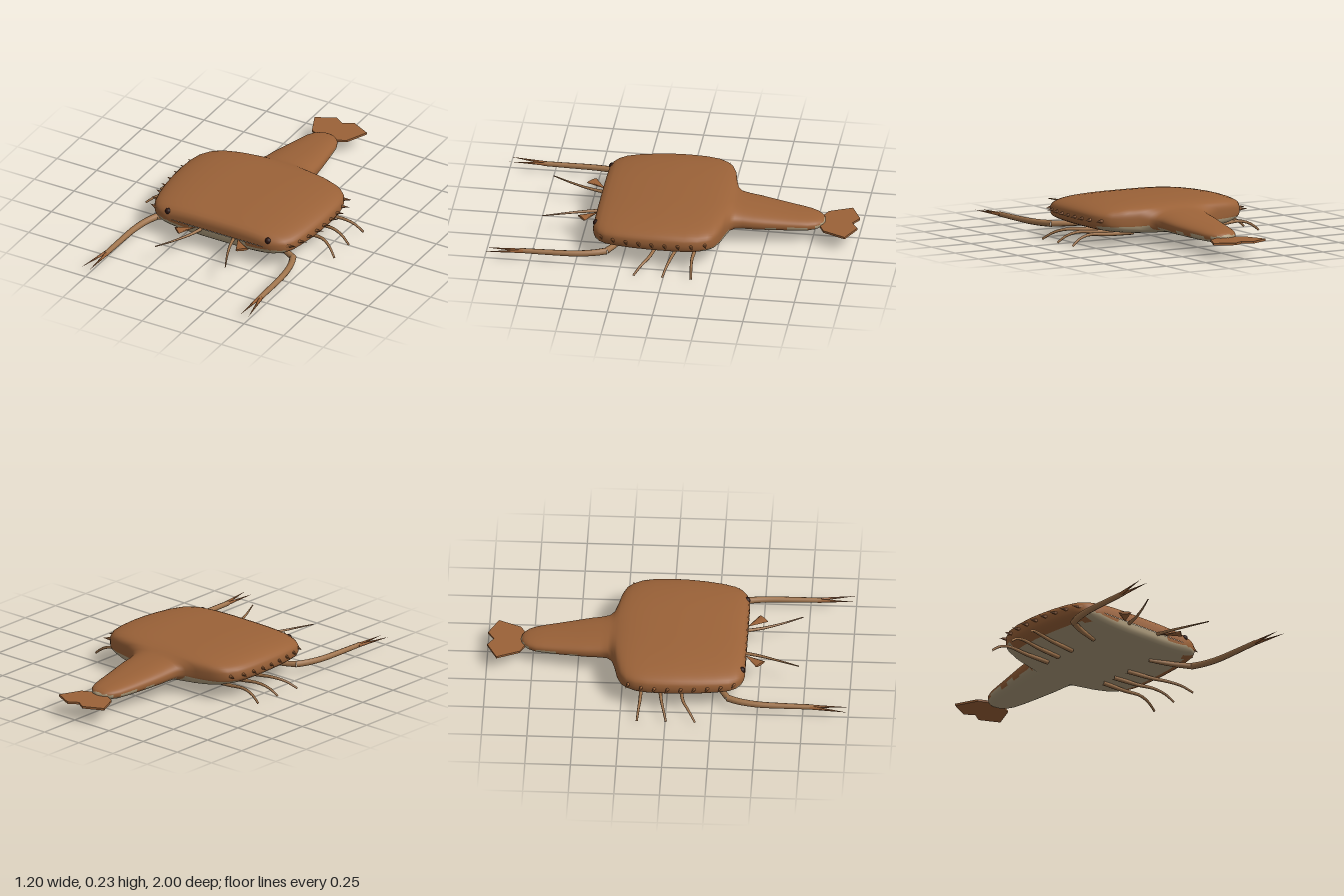
import * as THREE from 'three';

const mat = (name, color, side = THREE.FrontSide) => {
  const m = new THREE.MeshStandardMaterial({ color, side });
  m.name = name;
  return m;
};

export function createModel() {
  const group = new THREE.Group();
  const shell = mat('shell brown', 0x9b6238);
  const belly = mat('belly tan', 0xae9c7c);
  const limb = mat('limb tan', 0xa0744c);
  const dark = mat('eye dark', 0x2a1410);

  const add = (name, geo, material, parent = group) => {
    const m = new THREE.Mesh(geo, material);
    m.name = name;
    parent.add(m);
    return m;
  };
  const V = (p) => new THREE.Vector3(...p);

  // Carapace and tail: z, half width, top y, bottom y
  const stations = [
    [0.425, 0.30, 0.131, 0.129], [0.425, 0.32, 0.16, 0.105], [0.42, 0.345, 0.182, 0.085],
    [0.405, 0.385, 0.198, 0.073], [0.38, 0.415, 0.207, 0.067], [0.34, 0.44, 0.215, 0.064],
    [0.27, 0.457, 0.223, 0.062], [0.18, 0.47, 0.229, 0.06], [0.08, 0.478, 0.233, 0.06],
    [0, 0.48, 0.234, 0.06], [-0.1, 0.476, 0.232, 0.06], [-0.17, 0.462, 0.229, 0.061],
    [-0.22, 0.435, 0.224, 0.063], [-0.25, 0.405, 0.219, 0.065], [-0.275, 0.345, 0.213, 0.067],
    [-0.292, 0.26, 0.207, 0.068], [-0.31, 0.2, 0.2, 0.069], [-0.335, 0.168, 0.193, 0.069],
    [-0.38, 0.157, 0.186, 0.068], [-0.44, 0.152, 0.178, 0.067], [-0.5, 0.142, 0.169, 0.066],
    [-0.56, 0.131, 0.161, 0.065], [-0.62, 0.12, 0.153, 0.064], [-0.68, 0.109, 0.146, 0.064],
    [-0.73, 0.098, 0.139, 0.065], [-0.77, 0.08, 0.132, 0.069], [-0.795, 0.058, 0.124, 0.075],
    [-0.81, 0.035, 0.115, 0.082], [-0.817, 0.002, 0.1, 0.098],
  ];
  const N = 56;
  const pos = [];
  const spow = (v, e) => Math.sign(v) * Math.pow(Math.abs(v), e);
  for (const [z, w, top, bot] of stations) {
    const e = z < -0.3 ? 0.82 : 0.66;
    for (let j = 0; j < N; j++) {
      const a = (j / N) * Math.PI * 2;
      pos.push(w * spow(Math.cos(a), e), (top + bot) / 2 + ((top - bot) / 2) * spow(Math.sin(a), e), z);
    }
  }
  // Height under which the skin is pale, scalloped along the tail
  const paleLine = (z) => {
    if (z > 0.37) return 0.118;
    if (z > -0.18) return 0.082;
    if (z > -0.31) return 0.11;
    return 0.082 + 0.028 * Math.abs(Math.sin((z + 0.31) * 22));
  };
  const upper = [], lower = [];
  for (let i = 0; i < stations.length - 1; i++) {
    for (let j = 0; j < N; j++) {
      const a = i * N + j, b = i * N + (j + 1) % N, c = a + N, d = b + N;
      const y = (pos[a * 3 + 1] + pos[b * 3 + 1] + pos[c * 3 + 1] + pos[d * 3 + 1]) / 4;
      const z = (pos[a * 3 + 2] + pos[c * 3 + 2]) / 2;
      (y < paleLine(z) ? lower : upper).push(a, c, b, b, c, d);
    }
  }
  const bodyGeo = new THREE.BufferGeometry();
  bodyGeo.setAttribute('position', new THREE.Float32BufferAttribute(pos, 3));
  bodyGeo.setIndex([...upper, ...lower]);
  bodyGeo.addGroup(0, upper.length, 0);
  bodyGeo.addGroup(upper.length, lower.length, 1);
  bodyGeo.computeVertexNormals();
  add('body', bodyGeo, [shell, belly]);

  // Curved limb narrowing from radius r0 to r1
  const taper = (points, r0, r1, segs = 14, sides = 8) => {
    const curve = new THREE.CatmullRomCurve3(points.map(V));
    const geo = new THREE.TubeGeometry(curve, segs, 1, sides);
    const p = geo.attributes.position;
    for (let i = 0; i <= segs; i++) {
      const c = curve.getPointAt(i / segs);
      const r = r0 + (r1 - r0) * (i / segs);
      for (let j = 0; j <= sides; j++) {
        const k = i * (sides + 1) + j;
        const v = new THREE.Vector3().fromBufferAttribute(p, k).sub(c).multiplyScalar(r).add(c);
        p.setXYZ(k, v.x, v.y, v.z);
      }
    }
    return geo;
  };
  // Cone from a base point to a tip
  const spike = (from, to, r, sides = 6) => {
    const a = V(from), dir = V(to).sub(a), len = dir.length();
    const geo = new THREE.ConeGeometry(r, len, sides);
    geo.translate(0, len / 2, 0);
    geo.applyQuaternion(new THREE.Quaternion().setFromUnitVectors(new THREE.Vector3(0, 1, 0), dir.normalize()));
    return geo.translate(a.x, a.y, a.z);
  };
  // Carapace half width at a given z
  const widthAt = (z) => {
    const i = stations.findIndex((s) => s[0] <= z);
    const [a, b] = [stations[i - 1], stations[i]];
    return a[1] + (b[1] - a[1]) * ((a[0] - z) / (a[0] - b[0]));
  };

  for (const s of [1, -1]) {
    const side = new THREE.Group();
    side.name = s > 0 ? 'leftSide' : 'rightSide';
    group.add(side);
    const m = ([x, y, z]) => [s * x, y, z];
    const tube = (name, pts, r0, r1, material = limb, segs) => add(name, taper(pts.map(m), r0, r1, segs), material, side);

    // Walking legs
    for (const [z0, z1, z2] of [[0.06, 0.095, 0.165], [-0.05, -0.025, 0.005], [-0.14, -0.143, -0.155]]) {
      tube('walkingLeg', [[0.2, 0.057, z0], [0.36, 0.058, (z0 + z1) / 2], [0.48, 0.065, z1],
        [0.545, 0.047, (z1 + z2) / 2], [0.595, 0.01, z2]], 0.014, 0.006);
    }

    // Front arm and its pincer
    tube('armBase', [[0.2, 0.06, 0.24], [0.34, 0.06, 0.29], [0.435, 0.06, 0.34]], 0.011, 0.018);
    tube('arm', [[0.43, 0.06, 0.335], [0.455, 0.058, 0.4], [0.474, 0.056, 0.5],
      [0.48, 0.055, 0.66], [0.482, 0.055, 0.81]], 0.019, 0.014, limb, 20);
    add('pincerOuter', spike(m([0.488, 0.055, 0.79]), m([0.527, 0.057, 1]), 0.011), shell, side);
    add('pincerInner', spike(m([0.478, 0.055, 0.79]), m([0.475, 0.055, 1]), 0.011), shell, side);

    // Antenna and the small fan beside it
    tube('antenna', [[0.1, 0.122, 0.41], [0.125, 0.123, 0.5], [0.165, 0.126, 0.6], [0.222, 0.133, 0.72]], 0.01, 0.003);
    const fan = spike([0, 0, 0.115], [0, 0, 0], 0.036, 8);
    fan.scale(1, 0.22, 1);
    fan.rotateY(s * 0.72);
    fan.translate(s * 0.13, 0.128, 0.42);
    add('antennaFan', fan, shell, side);

    // Eye
    const eye = add('eye', new THREE.SphereGeometry(0.018, 12, 8), dark, side);
    eye.position.set(s * 0.315, 0.168, 0.409);

    // Row of edge spines
    for (let i = 0; i < 9; i++) {
      const z = 0.375 - i * 0.0725;
      const w = widthAt(z);
      add('edgeSpine', spike(m([w - 0.015, 0.145, z]), m([w + 0.04, 0.145, z - 0.018]), 0.013), shell, side);
    }

    // Tail fan lobe
    const shape = new THREE.Shape([[0, 0.78], [0.05, 0.79], [0.11, 0.82], [0.165, 0.945], [0.055, 1], [0, 0.965]]
      .map(([x, y]) => new THREE.Vector2(s * x, y)));
    const lobe = new THREE.ExtrudeGeometry(shape, { depth: 0.012, bevelEnabled: false });
    lobe.rotateX(-Math.PI / 2);
    lobe.translate(0, 0.086, 0);
    add('tailFanLobe', lobe, shell, side);
  }
  return group;
}
